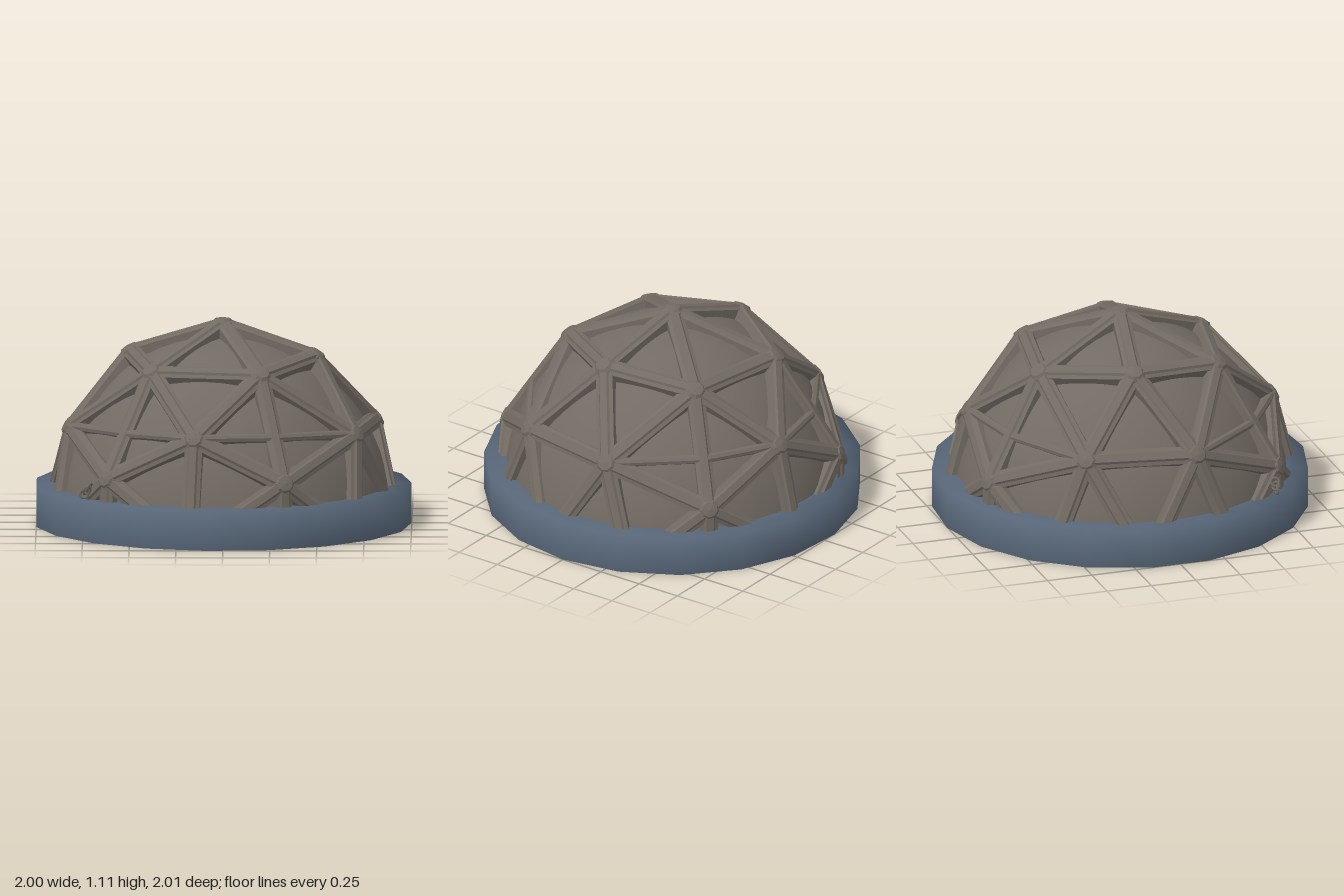
import * as THREE from 'three';

const taupe = new THREE.MeshStandardMaterial({ color: 0x726b63 });
taupe.name = 'weathered taupe';
const blue = new THREE.MeshStandardMaterial({ color: 0x586779 });
blue.name = 'slate blue';

const BASE_Y = 0.005, RX = 0.975, RY = 1.088, TURN = 0.182;
const V = (x, y, z) => new THREE.Vector3(x, y, z);
const UP = V(0, 1, 0);

// direction on the unit sphere -> point on the stretched dome
const onDome = d => V(d.x * RX, BASE_Y + d.y * RY, d.z * RX);
const turned = (u, up, w) => V(u, up, w).applyAxisAngle(UP, -TURN);

// icosahedron corners plus edge midpoints; the apex is the midpoint of an edge along x
function hubDirections() {
  const p = (1 + Math.sqrt(5)) / 2, corners = [], dirs = [];
  for (const a of [-1, 1]) for (const b of [-p, p])
    corners.push(turned(a, b, 0), turned(b, 0, a), turned(0, a, b));
  corners.forEach((c, i) => {
    dirs.push(c.clone());
    for (let j = i + 1; j < corners.length; j++)
      if (c.distanceTo(corners[j]) < 2.1) dirs.push(c.clone().add(corners[j]));
  });
  return dirs.map(d => d.normalize());
}

function add(parent, name, geo, mat = taupe) {
  const m = new THREE.Mesh(geo, mat);
  m.name = name;
  parent.add(m);
  return m;
}

// stepped beam whose top faces away from the dome centre
function strut(parent, name, a, b, width = 0.095, depth = 0.065) {
  const w = width / 2, n = w * 0.6, top = 0.012, s = top - depth * 0.3;
  const shape = new THREE.Shape([
    [-w, -depth], [w, -depth], [w, s], [n, s + 0.008], [n * 0.7, top],
    [-n * 0.7, top], [-n, s + 0.008], [-w, s]
  ].map(q => new THREE.Vector2(...q)));
  const m = add(parent, name,
    new THREE.ExtrudeGeometry(shape, { depth: a.distanceTo(b), bevelEnabled: false }));
  const z = b.clone().sub(a).normalize();
  const mid = a.clone().add(b).setY((a.y + b.y) * 0.9).normalize();
  const x = mid.cross(z).normalize();
  const y = z.clone().cross(x);
  m.quaternion.setFromRotationMatrix(new THREE.Matrix4().makeBasis(x, y, z));
  m.position.copy(a);
}

function bar(parent, name, a, b, r = 0.012) {
  add(parent, name, new THREE.TubeGeometry(new THREE.LineCurve3(a, b), 1, r, 6));
}

function loop(parent, name, pos, radius, tube) {
  const m = add(parent, name, new THREE.TorusGeometry(radius, tube, 6, 16));
  m.rotation.x = Math.PI / 2;
  m.position.copy(pos);
}

function lathe(points, segs) {
  return new THREE.LatheGeometry(points.map(p => new THREE.Vector2(...p)), segs, Math.PI / 2);
}

export function createModel() {
  const model = new THREE.Group();
  model.name = 'geodesicDome';
  model.position.x = -0.007;

  // base ring, softly shaded around its rims
  const ring = new THREE.Group();
  ring.name = 'baseRing';
  model.add(ring);
  const R = 1.006, H = 0.215;
  add(ring, 'ringBand',
    lathe([[0.84, H - 0.02], [0.97, H - 0.02], [0.97, 0], [R, 0], [R, H], [0.84, H]], 19), blue);
  add(ring, 'innerHoop',
    lathe([[0.85, 0.19], [0.85, 0.01], [0.88, 0.01], [0.88, 0.19]], 19), blue);
  add(ring, 'footing', lathe([[0.88, 0.08], [0.88, 0.03], [0.97, 0.03], [0.97, 0.08]], 19));

  // smooth inner shell
  const shell = add(model, 'innerShell',
    new THREE.SphereGeometry(1, 48, 20, 0, Math.PI * 2, 0, Math.PI / 2));
  shell.scale.set(0.905, 1.0, 0.905);
  shell.position.y = 0.01;

  // floor, seen from underneath
  const floor = add(model, 'floor', new THREE.CylinderGeometry(0.86, 0.86, 0.02, 38));
  floor.position.y = 0.1;
  const plate = add(model, 'floorPlate', new THREE.CylinderGeometry(0.84, 0.84, 0.02, 4));
  plate.position.y = 0.07;
  plate.rotation.y = Math.PI / 4;

  // hubs and struts
  const frame = new THREE.Group();
  frame.name = 'frame';
  model.add(frame);
  const dirs = hubDirections().filter(d => d.y > -0.4);
  const hubGeo = lathe(
    [[0, -0.06], [0.055, -0.06], [0.06, -0.012], [0.042, 0.008], [0, 0.014]], 9).toNonIndexed();
  hubGeo.computeVertexNormals();
  const cut = 0.055;
  dirs.forEach((d, i) => {
    const p = onDome(d);
    if (d.y > 0.1) {
      const hub = add(frame, 'hub', hubGeo);
      hub.position.copy(p);
      hub.quaternion.setFromUnitVectors(UP, d);
    }
    for (let j = i + 1; j < dirs.length; j++) {
      const e = dirs[j];
      if (d.angleTo(e) > 0.66 || Math.max(d.y, e.y) < -0.01) continue;
      let [hi, lo] = d.y > e.y ? [p, onDome(e)] : [onDome(e), p];
      // cut beams off just above the ground
      if (hi.y < cut) { hi = hi.clone().setY(cut); lo = lo.clone().setY(cut); }
      else if (lo.y < cut) lo = hi.clone().lerp(lo, (hi.y - cut) / (hi.y - lo.y));
      strut(frame, 'strut', hi, lo);
    }
  });

  // thin level rails crossing the four tall diamonds
  for (const su of [-1, 1]) for (const sw of [-1, 1]) {
    const a = onDome(turned(0, 0.526, 0.85 * sw));
    const b = onDome(turned(0.809 * su, 0.5, 0.309 * sw));
    const mid = onDome(turned(0.309 * su, 0.809, 0.5 * sw))
      .lerp(onDome(turned(0.5 * su, 0.309, 0.809 * sw)), 0.58);
    strut(frame, 'levelRail', a, mid, 0.045, 0.04);
    strut(frame, 'levelRail', mid, b, 0.045, 0.04);
  }

  // small coil resting on the rim
  const coil = new THREE.Group();
  coil.name = 'coil';
  model.add(coil);
  for (let i = 0; i < 3; i++) {
    const t = add(coil, 'coilTurn', new THREE.TorusGeometry(0.022, 0.007, 6, 12));
    t.position.set(-0.735 + i * 0.014, 0.25 + i * 0.018, 0.63);
    t.rotation.set(0.4 * i, 0.5 * i, 0);
  }

  // tools fixed under the floor; s runs towards -x-z, d runs towards -x+z
  const tools = new THREE.Group();
  tools.name = 'tools';
  model.add(tools);
  const at = (s, d) => V(-(s + d) * Math.SQRT1_2, 0.045, (d - s) * Math.SQRT1_2);
  loop(tools, 'scissorLoop', at(-0.04, -0.54), 0.09, 0.018);
  loop(tools, 'scissorLoop', at(0.12, -0.27), 0.09, 0.018);
  bar(tools, 'scissorBlade', at(-0.3, -0.66), at(0.16, -0.23), 0.014);
  bar(tools, 'scissorBlade', at(0.19, -0.16), at(0.65, 0.31), 0.014);
  loop(tools, 'spoonBowl', at(-0.54, 0.25), 0.09, 0.018);
  for (const o of [-0.025, 0.025])
    bar(tools, 'spoonHandle', at(-0.46 + o, 0.2 + o), at(-0.1 + o, -0.27 + o));
  bar(tools, 'forkHandle', at(0.22, 0.0), at(0.6, 0.36), 0.016);
  for (let i = 0; i < 4; i++) {
    const o = (i - 1.5) * 0.045;
    bar(tools, 'forkTine', at(0.08 - o * 0.6, 0.0 + o), at(0.24 - o * 0.6, 0.06 + o), 0.01);
  }
  return model;
}
